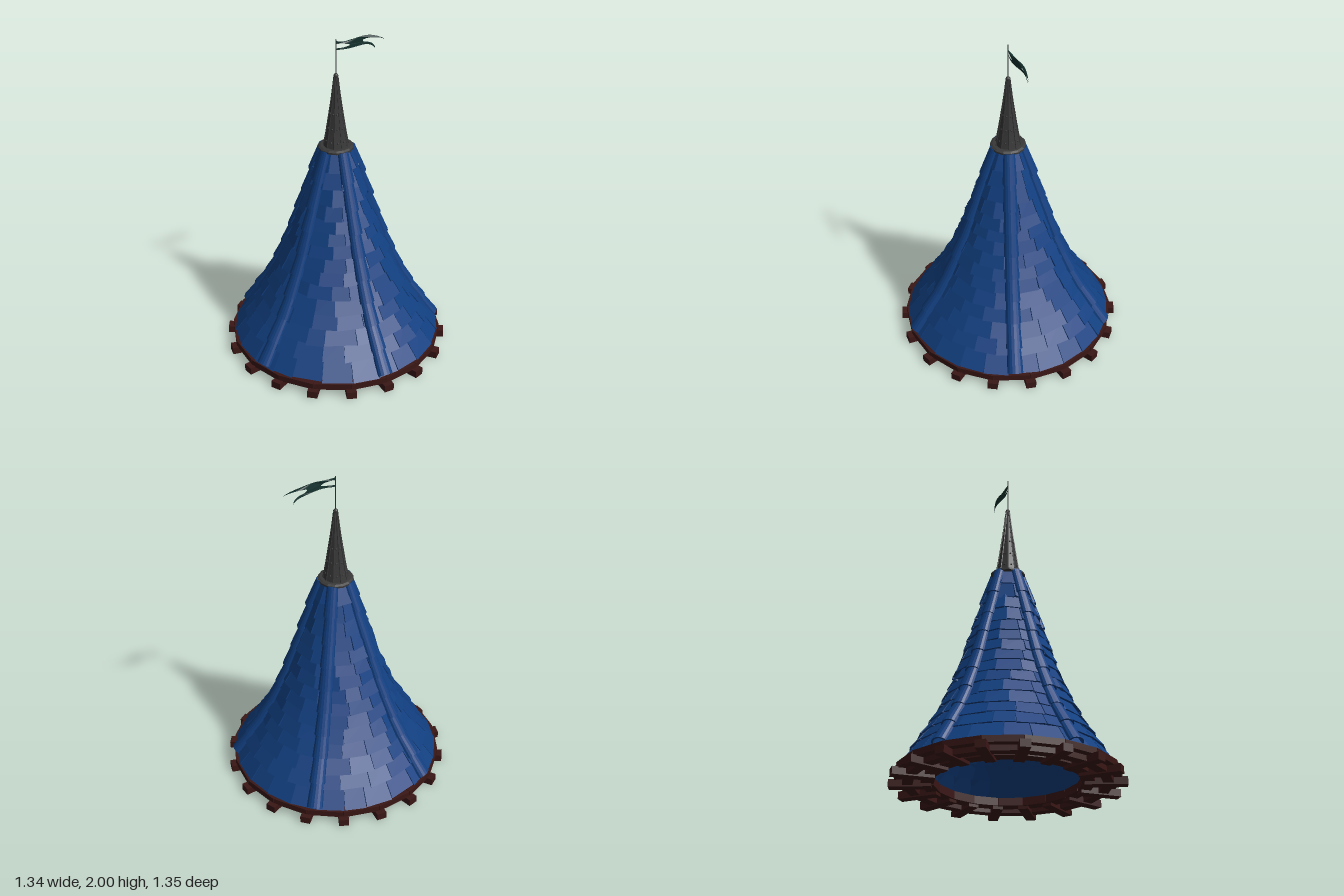
import * as THREE from 'three';
import { mergeGeometries } from 'three/addons/utils/BufferGeometryUtils.js';

const TAU = Math.PI * 2;
const paint = (color, side = THREE.FrontSide) => new THREE.MeshStandardMaterial({ color, side, flatShading: true });
const blue = paint(0x113f80), lining = paint(0x113f80, THREE.DoubleSide);
const wood = paint(0x3a1715), metal = paint(0x383838), cloth = paint(0x16332f, THREE.DoubleSide);

// Small seeded generator, returns -1..1
let seed = 7;
const jitter = () => ((seed = (seed * 16807) % 2147483647) / 2147483647) * 2 - 1;

// Roof profile: height, radius
const profile = [[0.08, 0.605], [0.2, 0.53], [0.34, 0.44], [0.5, 0.36], [0.7, 0.28], [0.9, 0.215], [1.1, 0.15], [1.34, 0.073]];
function roofRadius(y) {
  let i = 0;
  while (i < profile.length - 2 && y > profile[i + 1][0]) i++;
  const [y0, r0] = profile[i], [y1, r1] = profile[i + 1];
  return r0 + (r1 - r0) * (y - y0) / (y1 - y0);
}

// Moves the vertices of a unit box by a rule: (u, v, w) in 0..1 -> [x, y, z]
function bend(rule, su = 1, sv = 1) {
  const g = new THREE.BoxGeometry(1, 1, 1, su, sv, 1);
  const p = g.attributes.position;
  for (let i = 0; i < p.count; i++) p.setXYZ(i, ...rule(p.getX(i) + 0.5, p.getY(i) + 0.5, p.getZ(i) + 0.5));
  g.computeVertexNormals();
  return g;
}
const polar = (a, r, y) => [r * Math.sin(a), y, r * Math.cos(a)];

function add(group, name, geometry, material) {
  const mesh = new THREE.Mesh(geometry, material);
  mesh.name = name;
  group.add(mesh);
  return mesh;
}

// One flat shingle, thick at its lower edge and tucked under the next row
function shingle(a0, a1, y0, y1) {
  const drop = jitter() * 0.006, lift = jitter() * 0.004, tilt = jitter() * 0.005;
  return bend((u, v, w) => {
    const y = v ? y1 : Math.max(0.078, y0 + drop + tilt * (u - 0.5));
    const off = w ? (v ? 0.006 : 0.024 + lift) : (v ? -0.006 : 0.002);
    return polar(a0 + (a1 - a0) * u, roofRadius(y) + off, y);
  });
}

// One curved ridge tile, flared towards its lower end
function ridgeTile(a, y0, y1) {
  const sag = jitter() * 0.003;
  return bend((u, v, w) => {
    const y = y0 + (y1 - y0) * v;
    const slope = (roofRadius(y0) - roofRadius(y1)) / (y1 - y0), len = Math.hypot(1, slope);
    const half = 0.033 + 0.009 * (1 - y / 1.34) + 0.008 * (1 - v) - (w ? 0 : 0.011);
    const t = (u - 0.5) * Math.PI;
    const out = half * 0.75 * Math.cos(t) + 0.008 + (1 - v) * 0.006 + sag;
    const side = half * Math.sin(t), r = roofRadius(y) + out / len;
    return [r * Math.sin(a) + side * Math.cos(a), y + out * slope / len, r * Math.cos(a) - side * Math.sin(a)];
  }, 8, 1);
}

function buildRoof() {
  const roof = new THREE.Group();
  roof.name = 'roof';
  add(roof, 'roofLining', new THREE.LatheGeometry(profile.map(([y, r]) => new THREE.Vector2(r - 0.007, y)), 30), lining);

  // Rows of shingles, fewer per row towards the top
  const rows = [0.08, 0.18, 0.26, 0.34, 0.42, 0.5, 0.575, 0.65, 0.725, 0.8, 0.87, 0.945, 1.03, 1.12, 1.22, 1.33];
  for (let k = 0; k < rows.length - 1; k++) {
    const count = Math.max(9, Math.round(TAU * roofRadius(rows[k]) / (0.16 - 0.004 * k)));
    const step = TAU / count, start = (k % 2) * step / 2 + jitter() * 0.1;
    const cuts = Array.from({ length: count }, (_, i) => start + step * (i + jitter() * 0.16));
    cuts.push(cuts[0] + TAU);
    const gap = 0.004 / roofRadius(rows[k]);
    const tiles = [];
    for (let i = 0; i < count; i++) {
      tiles.push(shingle(cuts[i] + gap / 2, cuts[i + 1] - gap / 2, rows[k], Math.min(1.335, rows[k + 1] + 0.02)));
    }
    add(roof, 'shingleRow' + (k + 1), mergeGeometries(tiles), blue);
  }

  // Five ridges of overlapping curved tiles
  const caps = [0.078, 0.205, 0.335, 0.46, 0.59, 0.72, 0.855, 0.99, 1.15, 1.32];
  for (let s = 0; s < 5; s++) {
    const tiles = [];
    for (let i = 0; i < caps.length - 1; i++) {
      tiles.push(ridgeTile(s * TAU / 5, caps[i], Math.min(1.325, caps[i + 1] + 0.02)));
    }
    add(roof, 'ridge' + (s + 1), mergeGeometries(tiles), blue);
  }
  return roof;
}

function buildBase() {
  const base = new THREE.Group();
  base.name = 'base';
  const n = 18, step = TAU / n;
  // Ring of planks between two radii and two heights
  const ring = (r0, r1, y0, y1, shift) => mergeGeometries(Array.from({ length: n }, (_, i) =>
    bend((u, v, w) => polar((i + shift + (u - 0.5) * 0.99) * step, w ? r1 : r0, v ? y1 : y0))));
  add(base, 'outerRing', ring(0.49, 0.645, 0.04, 0.078, 0.5), wood);
  add(base, 'innerRing', ring(0.42, 0.495, 0.018, 0.066, 0.5), wood);
  add(base, 'middleRing', ring(0.54, 0.6, 0.008, 0.042, 0.5), wood);
  for (let i = 0; i < n; i++) {
    const beam = new THREE.BoxGeometry(0.06, 0.045, 0.245).translate(0, 0.0225, 0.5525).rotateY(i * step);
    add(base, 'beam' + (i + 1), beam, wood);
  }
  return base;
}

function buildSpire() {
  const spire = new THREE.Group();
  spire.name = 'spire';
  const outline = [[0, 1.32], [0.095, 1.32], [0.105, 1.325], [0.105, 1.336], [0.092, 1.343], [0.073, 1.343]];
  add(spire, 'collar', new THREE.LatheGeometry(outline.map(([r, y]) => new THREE.Vector2(r, y)), 14), metal);
  const cone = [[0.074, 1.34], [0.058, 1.43], [0.043, 1.53], [0.027, 1.64], [0.011, 1.775]];
  add(spire, 'metalCone', new THREE.LatheGeometry(cone.map(([r, y]) => new THREE.Vector2(r, y)), 10), metal);

  // Raised seams and rivets between them
  const parts = [], rivets = [];
  for (let i = 0; i < 10; i++) {
    const a = i * TAU / 10;
    const path = new THREE.CatmullRomCurve3(cone.map(([r, y]) => new THREE.Vector3(...polar(a, r, y))));
    parts.push(new THREE.TubeGeometry(path, 8, 0.004, 5));
    for (const [y, r] of [[1.38, 0.064], [1.46, 0.051], [1.55, 0.038]]) {
      rivets.push(new THREE.SphereGeometry(0.006, 6, 4).translate(...polar(a + TAU / 20, r, y)));
    }
  }
  add(spire, 'seams', mergeGeometries(parts), metal);
  add(spire, 'rivets', mergeGeometries(rivets), metal);
  add(spire, 'tipBall', new THREE.SphereGeometry(0.014, 10, 8).translate(0, 1.78, 0), metal);
  add(spire, 'flagPole', new THREE.CylinderGeometry(0.0035, 0.0035, 0.22, 8).translate(0, 1.89, 0), metal);
  return spire;
}

// Torn pennant with two tails, rippled sideways
function buildFlag() {
  const s = new THREE.Shape();
  s.moveTo(0, 1.992);
  s.quadraticCurveTo(0.05, 1.975, 0.12, 1.987);
  s.quadraticCurveTo(0.24, 1.995, 0.315, 1.942);
  s.quadraticCurveTo(0.25, 1.972, 0.18, 1.962);
  s.quadraticCurveTo(0.165, 1.95, 0.2, 1.942);
  s.quadraticCurveTo(0.255, 1.93, 0.26, 1.89);
  s.quadraticCurveTo(0.24, 1.922, 0.19, 1.928);
  s.quadraticCurveTo(0.1, 1.936, 0, 1.934);
  s.lineTo(0, 1.946);
  s.quadraticCurveTo(0.06, 1.944, 0.085, 1.955);
  s.quadraticCurveTo(0.06, 1.972, 0, 1.974);
  const g = new THREE.ShapeGeometry(s, 10);
  const p = g.attributes.position;
  for (let i = 0; i < p.count; i++) p.setZ(i, 0.011 * Math.sin(p.getX(i) * 22) + (p.getY(i) - 1.95) * 0.1);
  g.computeVertexNormals();
  return g;
}

export function createModel() {
  const model = new THREE.Group();
  model.name = 'towerRoof';
  model.add(buildBase(), buildRoof(), buildSpire());
  add(model, 'flag', buildFlag(), cloth);
  return model;
}
